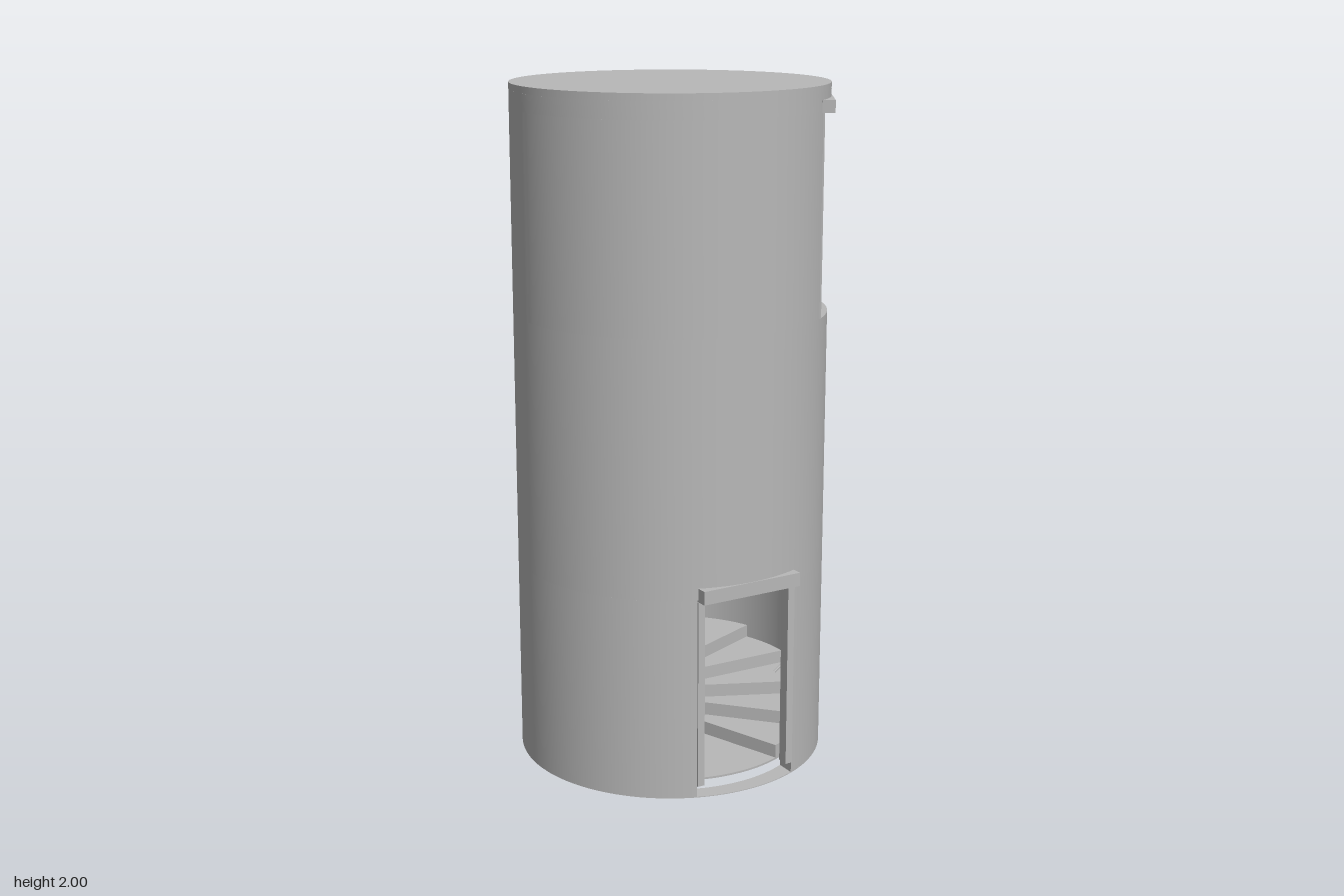
import * as THREE from 'three';
import { toCreasedNormals } from 'three/addons/utils/BufferGeometryUtils.js';

const stone = new THREE.MeshStandardMaterial({ color: 0xb8b8b8 });
stone.name = 'grey stone';

const R_OUT = 0.458, R_IN = 0.405, HEIGHT = 2;
const FLOOR = 0.035, LANDING = 1.345, DOOR_HALF = 0.162;
const rad = THREE.MathUtils.degToRad;

function add(parent, name, geometry, x = 0, y = 0, z = 0) {
  const mesh = new THREE.Mesh(geometry, stone);
  mesh.name = name;
  mesh.position.set(x, y, z);
  parent.add(mesh);
  return mesh;
}

// Extrudes a plan shape upwards from y0 to y1
function rise(shape, y0, y1, segments) {
  const g = new THREE.ExtrudeGeometry(shape, { depth: y1 - y0, bevelEnabled: false, curveSegments: segments });
  g.rotateX(-Math.PI / 2).translate(0, y0, 0);
  return toCreasedNormals(g, 0.5);
}

// Ring sector; angles run from the front (+z) towards +x
function sector(r0, r1, a0, a1, y0, y1, segments = 8, inset = 0) {
  const s = new THREE.Shape(), q = Math.PI / 2;
  s.absarc(0, 0, r1, a0 - q, a1 - q, false);
  s.absarc(0, 0, r0, a1 - q - inset, a0 - q + inset, true);
  s.closePath();
  return rise(s, y0, y1, segments);
}

function fullRing(y0, y1) {
  const s = new THREE.Shape().absarc(0, 0, R_OUT, 0, Math.PI * 2, false);
  s.holes.push(new THREE.Path().absarc(0, 0, R_IN, 0, Math.PI * 2, true));
  return rise(s, y0, y1, 96);
}

// Wall band with a parallel-sided doorway at the given angle
function doorRing(angle, y0, y1) {
  const outer = Math.asin(DOOR_HALF / R_OUT), inner = Math.asin(DOOR_HALF / R_IN);
  return sector(R_IN, R_OUT, angle + outer, angle + Math.PI * 2 - outer, y0, y1, 88, inner - outer);
}

// Jambs and lintel of one doorway
function doorFrame(name, angle, y0, y1, lintelWidth, lintelHeight) {
  const frame = new THREE.Group();
  frame.name = name;
  frame.rotation.y = angle;
  for (const side of [-1, 1]) {
    add(frame, 'jamb', new THREE.BoxGeometry(0.022, y1 - y0, 0.034), side * 0.151, (y0 + y1) / 2, 0.416);
  }
  add(frame, 'lintel', new THREE.BoxGeometry(lintelWidth, lintelHeight, 0.036), 0, y1 + lintelHeight / 2, 0.443);
  return frame;
}

export function createModel() {
  const model = new THREE.Group();
  const tower = new THREE.Group();
  tower.name = 'tower';
  tower.position.set(-0.013, 0, -0.003);
  model.add(tower);

  // Outer wall in bands, with two doorways
  const upperDoor = rad(58);
  add(tower, 'baseRing', fullRing(0, 0.002));
  add(tower, 'lowerWall', doorRing(0, 0.002, 0.6));
  add(tower, 'middleWall', fullRing(0.6, LANDING));
  add(tower, 'upperWall', doorRing(upperDoor, LANDING, 1.93));
  add(tower, 'topWall', fullRing(1.93, 1.98));
  add(tower, 'roof', new THREE.CylinderGeometry(R_OUT, R_OUT, 0.02, 96), 0, HEIGHT - 0.01, 0);
  add(tower, 'floor', new THREE.CylinderGeometry(R_IN, R_IN, 0.006, 96), 0, FLOOR - 0.003, 0);
  tower.add(doorFrame('lowerDoorFrame', 0, FLOOR, 0.595, 0.32, 0.04));
  tower.add(doorFrame('upperDoorFrame', upperDoor, LANDING, 1.925, 0.345, 0.035));

  // Central column
  add(tower, 'column', new THREE.CylinderGeometry(0.038, 0.038, HEIGHT - 0.02 - FLOOR, 32), 0, (HEIGHT - 0.02 + FLOOR) / 2, 0);

  // Spiral stair
  const stairs = new THREE.Group();
  stairs.name = 'spiralStair';
  tower.add(stairs);
  const steps = 32, start = rad(20), end = rad(754);
  const turn = (end - start) / steps, riser = (LANDING - FLOOR) / (steps + 1);
  for (let i = 0; i < steps; i++) {
    const top = FLOOR + riser * (i + 1), a = start + turn * i;
    add(stairs, 'step', sector(0.03, R_IN, a, a + turn, top - riser, top, 6));
  }

  // Landing behind the upper doorway
  add(tower, 'landing', sector(0.03, R_IN, rad(34), rad(90), LANDING - riser, LANDING, 16));

  // Handrail following the wall
  const points = [];
  for (let i = 0; i <= 80; i++) {
    const t = i / 80, a = start + (end - start) * t;
    points.push(new THREE.Vector3(Math.sin(a) * 0.396, FLOOR + (LANDING - FLOOR) * t + 0.27, Math.cos(a) * 0.396));
  }
  add(tower, 'wallHandrail', new THREE.TubeGeometry(new THREE.CatmullRomCurve3(points), 240, 0.004, 6));

  // Railing along the open edge of the landing
  const railing = new THREE.Group();
  railing.name = 'landingRailing';
  tower.add(railing);
  for (let i = 0; i < 5; i++) {
    add(railing, 'post', new THREE.CylinderGeometry(0.004, 0.004, 0.275, 8), 0.06 + i * 0.068, LANDING + 0.1375, 0.004);
  }
  add(railing, 'topRail', new THREE.BoxGeometry(0.37, 0.008, 0.008), 0.22, LANDING + 0.275, 0.004);

  return model;
}
